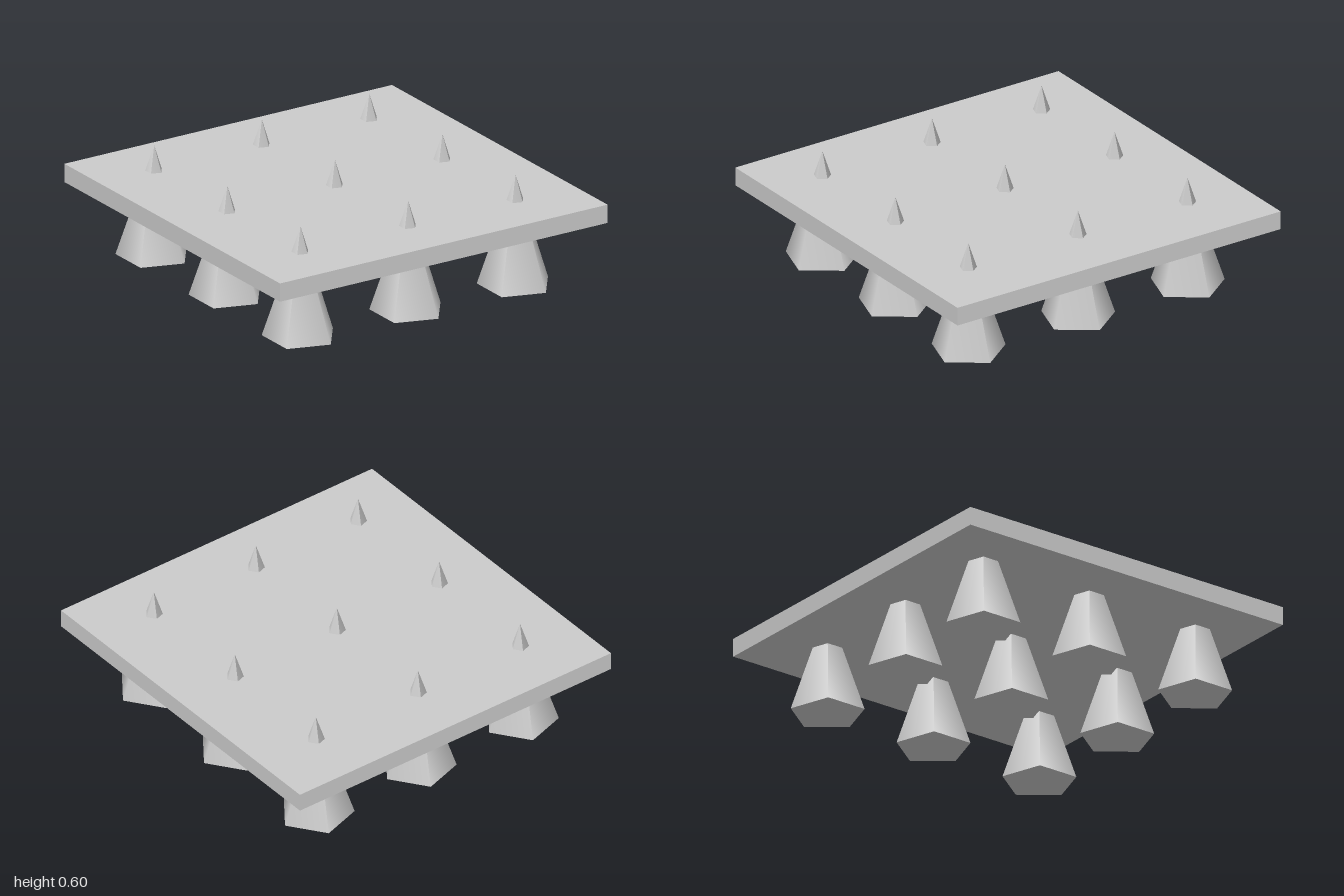
import * as THREE from 'three';

export function createModel() {
  const group = new THREE.Group();
  const material = new THREE.MeshStandardMaterial({ color: 0xcccccc });

  // Square slab
  const slab = new THREE.Mesh(new THREE.BoxGeometry(2, 0.1, 2), material);
  slab.name = 'slab';
  slab.position.y = 0.41;
  group.add(slab);

  // Five-sided spikes piercing the slab, one corner pointing to +x
  const height = 0.6;
  const spikeGeometry = new THREE.ConeGeometry(0.198, height, 5, 1, false, Math.PI / 2);
  const spikes = new THREE.Group();
  spikes.name = 'spikes';
  for (const x of [-0.67, -0.013, 0.643]) {
    for (const z of [-0.668, 0.01, 0.688]) {
      const spike = new THREE.Mesh(spikeGeometry, material);
      spike.name = 'spike';
      spike.position.set(x, height / 2, z);
      spikes.add(spike);
    }
  }
  group.add(spikes);

  return group;
}
